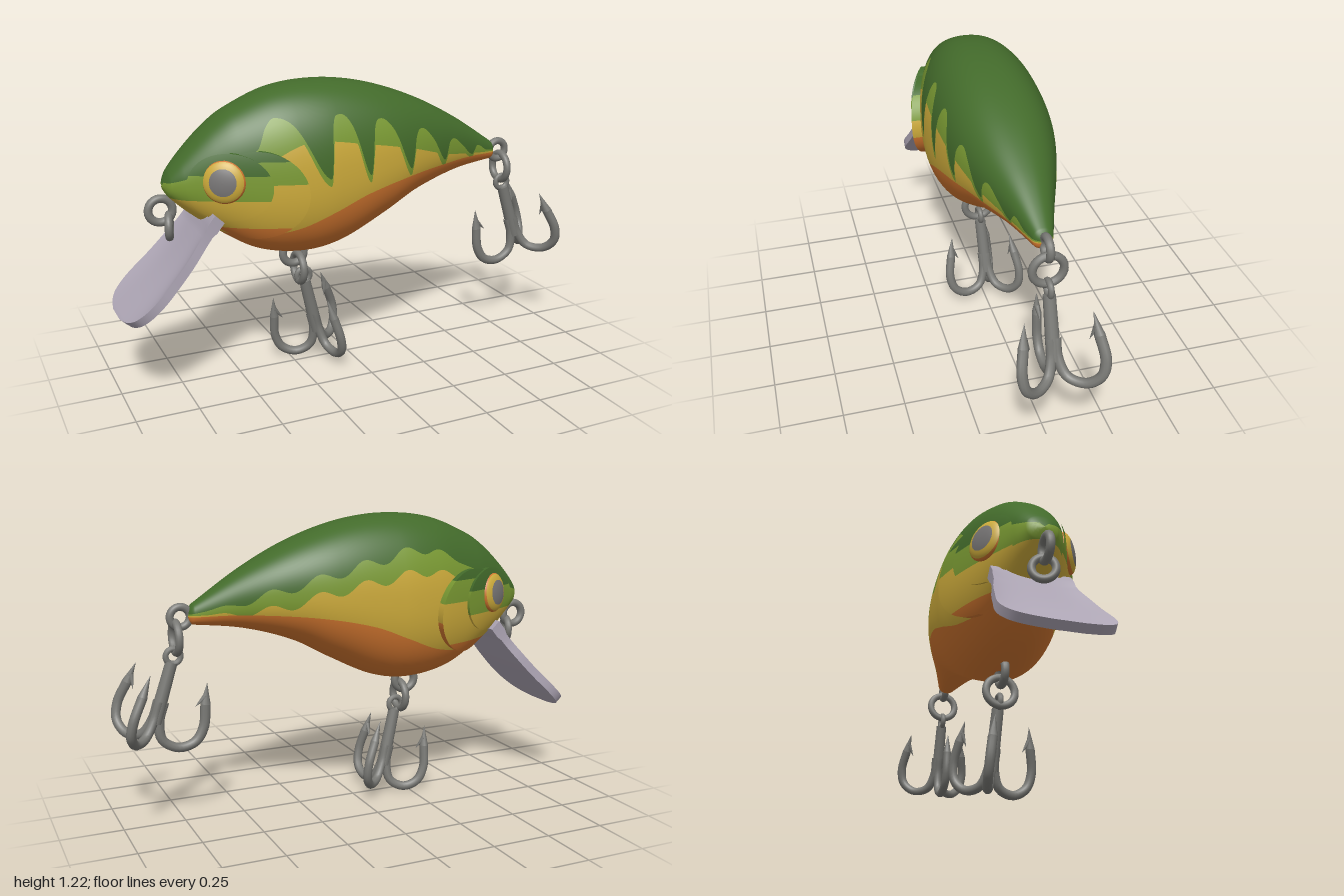
import * as THREE from 'three';

const mat = (name, color) => {
  const m = new THREE.MeshStandardMaterial({ color });
  m.name = name;
  return m;
};

// Smooth curve through [x, y] points
function curve(pts, x) {
  const n = pts.length - 1;
  let i = 0;
  while (i < n - 1 && x > pts[i + 1][0]) i++;
  const slope = (a, b) => (pts[b][1] - pts[a][1]) / (pts[b][0] - pts[a][0]);
  const m0 = slope(Math.max(i - 1, 0), i + 1), m1 = slope(i, Math.min(i + 2, n));
  const d = pts[i + 1][0] - pts[i][0];
  const t = THREE.MathUtils.clamp((x - pts[i][0]) / d, 0, 1), t2 = t * t, t3 = t2 * t;
  return (2 * t3 - 3 * t2 + 1) * pts[i][1] + (t3 - 2 * t2 + t) * d * m0
    + (3 * t2 - 2 * t3) * pts[i + 1][1] + (t3 - t2) * d * m1;
}

// Body profiles
const X0 = -0.79, X1 = 0.715, N = 2.3;
const TOP = [[-0.79, 0.88], [-0.75, 0.935], [-0.68, 1.012], [-0.6, 1.085], [-0.52, 1.138], [-0.34, 1.21], [-0.14, 1.23],
  [0.064, 1.205], [0.28, 1.135], [0.49, 1.03], [0.715, 0.885]];
const BOTTOM = [[-0.79, 0.83], [-0.7, 0.745], [-0.58, 0.655], [-0.42, 0.56], [-0.23, 0.525], [-0.07, 0.55],
  [0.12, 0.64], [0.28, 0.725], [0.49, 0.79], [0.715, 0.82]];
const WIDTH = [[-0.79, 0.045], [-0.72, 0.095], [-0.56, 0.165], [-0.42, 0.208], [-0.29, 0.235], [-0.13, 0.245],
  [0.14, 0.22], [0.35, 0.165], [0.565, 0.085], [0.715, 0.032]];

function section(x) {
  const s = Math.min(1, Math.max(0, Math.min(x - X0, X1 - x)) / 0.025);
  const f = Math.max(0.03, Math.sqrt(s * (2 - s)));
  const t = curve(TOP, x), b = curve(BOTTOM, x);
  return { c: (t + b) / 2, h: (t - b) / 2 * f, w: curve(WIDTH, x) * f };
}
const power = (v, p) => Math.sign(v) * Math.abs(v) ** p;
function bodyPoint(x, a) {
  const { c, h, w } = section(x);
  return new THREE.Vector3(x, c + h * power(Math.cos(a), 2 / N), w * power(Math.sin(a), 2 / N));
}
function angleAt(x, y) {
  const { c, h } = section(x);
  return Math.acos(power(THREE.MathUtils.clamp((y - c) / h, -1, 1), N / 2));
}
function halfWidth(x, y) {
  const { c, h, w } = section(x);
  return w * Math.max(0, 1 - Math.abs((y - c) / h) ** N) ** (1 / N);
}

// Grid over part of a surface S(a, b); side -1 mirrors it in z
function patch(S, map, nu, nv, side) {
  const pos = [], nor = [], idx = [], e = 1e-3;
  for (let j = 0; j <= nv; j++) for (let i = 0; i <= nu; i++) {
    const [a, b] = map(i / nu, j / nv);
    const p = S(a, b);
    const n = S(a, b + e).sub(S(a, b - e)).multiplyScalar(1000)
      .cross(S(a + e, b).sub(S(a - e, b)).multiplyScalar(1000)).normalize();
    pos.push(p.x, p.y, p.z * side);
    nor.push(n.x, n.y, n.z * side);
    if (i < nu && j < nv) {
      const q = j * (nu + 1) + i, r = q + nu + 1;
      if (side > 0) idx.push(q, r, r + 1, q, r + 1, q + 1);
      else idx.push(q, r + 1, r, q, q + 1, r + 1);
    }
  }
  const g = new THREE.BufferGeometry();
  g.setAttribute('position', new THREE.Float32BufferAttribute(pos, 3));
  g.setAttribute('normal', new THREE.Float32BufferAttribute(nor, 3));
  g.setIndex(idx);
  return g;
}

// Paint borders: slanted tiger stripes on the left side, soft waves on the right
const STRIPE = [[-0.79, 0.87], [-0.7, 0.9], [-0.6, 0.95], [-0.46, 1.0], [-0.42, 1.08], [-0.38, 1.115], [-0.31, 1.08],
  [-0.175, 0.87], [-0.16, 1.06], [-0.13, 1.115], [-0.08, 1.08], [0.0, 0.865], [0.02, 1.04], [0.055, 1.085], [0.11, 1.04],
  [0.2, 0.865], [0.22, 0.99], [0.255, 1.025], [0.31, 0.98], [0.39, 0.87], [0.41, 0.94], [0.44, 0.955], [0.49, 0.92],
  [0.56, 0.865], [0.59, 0.9], [0.65, 0.87], [0.715, 0.86]];
const WAVE = [[-0.79, 0.87], [-0.7, 0.9], [-0.6, 0.95], [-0.42, 1.02], [-0.25, 1.09], [0, 1.05], [0.3, 0.97], [0.5, 0.91], [0.715, 0.86]];
const LIGHT = [[-0.79, 0.81], [-0.6, 0.82], [-0.4, 0.96], [-0.25, 1.02], [0, 0.99], [0.2, 0.95], [0.4, 0.895], [0.6, 0.865], [0.715, 0.855]];
const BELLY = [[-0.79, 0.74], [-0.65, 0.67], [-0.45, 0.65], [-0.3, 0.67], [-0.15, 0.73], [0, 0.79], [0.22, 0.835], [0.5, 0.855], [0.715, 0.85]];

function borders(x, side) {
  const fade = THREE.MathUtils.smoothstep(x, -0.45, -0.2) * (1 - THREE.MathUtils.smoothstep(x, 0.4, 0.7));
  const wave = 0.02 * Math.sin(x * 34) * fade;
  const orange = curve(BELLY, x);
  const dark = Math.max(orange, side > 0 ? curve(STRIPE, x) : curve(WAVE, x) + wave);
  const low = side > 0 ? Math.min(curve(LIGHT, x), dark - 0.03 * fade) : curve(LIGHT, x) + wave - 0.02 * fade;
  return [9, dark, Math.max(orange, Math.min(dark, low)), orange, -9];
}

export function createModel() {
  const root = new THREE.Group();
  const dark = mat('dark green', 0x436b2b), light = mat('light green', 0x7a9a33);
  const yellow = mat('yellow', 0xcdab3b), orange = mat('orange', 0xd0752f);
  const lipMat = mat('lilac grey', 0xaca4b3), metal = mat('metal grey', 0x797975), pupilMat = mat('pupil grey', 0x777575);
  const add = (parent, geo, material, name, x = 0, y = 0, z = 0) => {
    const m = new THREE.Mesh(geo, material);
    m.name = name;
    m.position.set(x, y, z);
    parent.add(m);
    return m;
  };

  // Gill plate flaring out to the rear, in colour bands [lower edge, face, rim] from top to bottom
  function gill(name, cx, cy, rx, ry, flare, bands, side) {
    const at = (v, t, drop) => {
      const x = cx + rx * Math.sin(t) * v, y = cy + ry * Math.cos(t);
      const off = 0.006 + flare * Math.max(0, (x - cx + rx) / (2 * rx)) ** 1.3;
      return new THREE.Vector3(x, y, halfWidth(x, y) + off - drop * (off + 0.01));
    };
    let a = 0.06;
    for (const [y, face, rim] of bands) {
      const t0 = a, t1 = Math.min(3.08, Math.acos(THREE.MathUtils.clamp((y - cy) / ry, -1, 1)));
      const t = (v) => THREE.MathUtils.lerp(t0, t1, v);
      add(root, patch((v, b) => at(v, b, 0), (u, v) => [u * 2 - 1, t(v)], 20, 14, side), face, name);
      add(root, patch((d, b) => at(1, b, d), (u, v) => [u, t(v)], 1, 14, side), rim, name + 'Rim');
      a = t1;
    }
  }

  for (const side of [1, -1]) {
    const label = side > 0 ? 'Front' : 'Rear';
    // Body skin
    [[dark, 'back', 16], [light, 'upperFlank', 5], [yellow, 'flank', 8], [orange, 'belly', 16]].forEach(([m, name, rows], k) => {
      const map = (u, v) => {
        const x = X0 + (X1 - X0) * u, b = borders(x, side);
        return [x, THREE.MathUtils.lerp(angleAt(x, b[k]), angleAt(x, b[k + 1]), v)];
      };
      add(root, patch(bodyPoint, map, 300, rows, side), m, name + label);
    });
    gill('gillCover' + label, -0.47, 0.82, 0.19, 0.18, 0.034,
      [[0.96, dark, dark], [0.87, light, light], [0.79, yellow, yellow], [0.69, yellow, orange], [0, orange, orange]], side);
    gill('cheek' + label, -0.57, 0.86, 0.15, 0.135, 0.036,
      [[0.91, dark, dark], [0.81, light, light], [0, yellow, yellow]], side);

    // Shallow domed eye in three rings, with the pupil set forward
    const eye = new THREE.Group();
    eye.name = 'eye' + label;
    eye.position.set(-0.588, 0.887, side * (halfWidth(-0.588, 0.887) + 0.008));
    eye.quaternion.setFromUnitVectors(new THREE.Vector3(0, 1, 0), new THREE.Vector3(-0.5, 0.08, side * 0.86).normalize());
    [[0, 0.68, pupilMat, 'pupil'], [0.68, 1.2, yellow, 'iris'], [1.2, 1.75, orange, 'eyeRing']].forEach(([a, b, m, name]) => {
      const pts = [];
      for (let i = 0; i <= 6; i++) {
        const p = b + (a - b) * i / 6;
        pts.push(new THREE.Vector2(0.085 * Math.sin(p), 0.033 * Math.cos(p)));
      }
      add(eye, new THREE.LatheGeometry(pts, 32), m, name);
    });
    root.add(eye);
  }

  // Diving lip: slab with a thick rim and a hollow middle
  const LIP = [[0, 0.16], [0.08, 0.16], [0.2, 0.165], [0.35, 0.183], [0.5, 0.195], [0.75, 0.21], [0.9, 0.185], [0.97, 0.13], [1, 0.06]];
  const lipGeo = new THREE.BoxGeometry(1, 1, 2, 36, 2, 20);
  const p = lipGeo.attributes.position;
  for (let i = 0; i < p.count; i++) {
    const u = Math.sin((p.getX(i) + 0.5) * Math.PI / 2), v = p.getZ(i);
    const hollow = Math.sin(Math.PI * Math.min(1, u * 1.02)) * (1 - v ** 4);
    const thick = (u < 0.12 ? 0.05 : 0.036) * (1 - 0.65 * Math.max(0, hollow));
    p.setXYZ(i, u * 0.545, p.getY(i) * thick + 0.016 * Math.sin(Math.PI * u) + 0.008 * hollow, v * curve(LIP, u));
  }
  lipGeo.computeVertexNormals();
  add(root, lipGeo, lipMat, 'divingLip', -0.61, 0.74).rotation.z = Math.atan2(-0.395, -0.375);

  // Wire eyelets and the split rings through them
  const ring = (name, x, y, r, tube, turn) =>
    add(root, new THREE.TorusGeometry(r, tube, 12, 32), metal, name, x, y).rotation.set(0, turn, 0);
  ring('noseEyelet', -0.8, 0.757, 0.048, 0.017, 0);
  ring('noseRing', -0.768, 0.69, 0.045, 0.016, Math.PI / 2 - 0.3);
  ring('bellyEyelet', -0.248, 0.505, 0.047, 0.017, 0);
  ring('bellyRing', -0.225, 0.435, 0.06, 0.016, Math.PI / 2);
  ring('tailEyelet', 0.742, 0.85, 0.04, 0.016, 0);
  ring('tailRing', 0.762, 0.77, 0.06, 0.016, Math.PI / 2);

  // Treble hook: wire eye, shank and three barbed prongs
  const bend = new THREE.CatmullRomCurve3([[0.012, 0.22], [0.014, 0.3], [0.045, 0.372], [0.11, 0.39], [0.165, 0.355],
    [0.182, 0.29], [0.165, 0.195]].map(([r, t]) => new THREE.Vector3(-r, -t, 0)));
  const bendGeo = new THREE.TubeGeometry(bend, 32, 0.019, 10);
  function treble(name, x, y, { spin, fan, roll, tilt, spread }) {
    const hook = new THREE.Group();
    hook.name = name;
    hook.position.set(x, y, 0);
    hook.rotation.set(roll, 0, tilt);
    add(hook, new THREE.TorusGeometry(0.03, 0.012, 10, 24), metal, 'hookEye', 0, -0.035);
    add(hook, new THREE.CylinderGeometry(0.024, 0.028, 0.25, 16), metal, 'shank', 0, -0.185);
    for (const k of [-1, 0, 1]) {
      const prong = new THREE.Group();
      prong.name = 'prong';
      prong.rotation.y = spin + k * fan;
      prong.scale.x = spread;
      add(prong, bendGeo, metal, 'bend');
      add(prong, new THREE.ConeGeometry(0.019, 0.09, 10), metal, 'point', -0.157, -0.152).rotation.z = -0.185;
      add(prong, new THREE.ConeGeometry(0.012, 0.06, 8), metal, 'barb', -0.143, -0.19).rotation.z = -2.65;
      hook.add(prong);
    }
    root.add(hook);
  }
  treble('bellyHook', -0.212, 0.43, { spin: -0.3, fan: 2.09, roll: 0.05, tilt: 0.24, spread: 1 });
  treble('tailHook', 0.764, 0.73, { spin: 0, fan: 2.25, roll: 0, tilt: 0.31, spread: 1.1 });
  return root;
}
